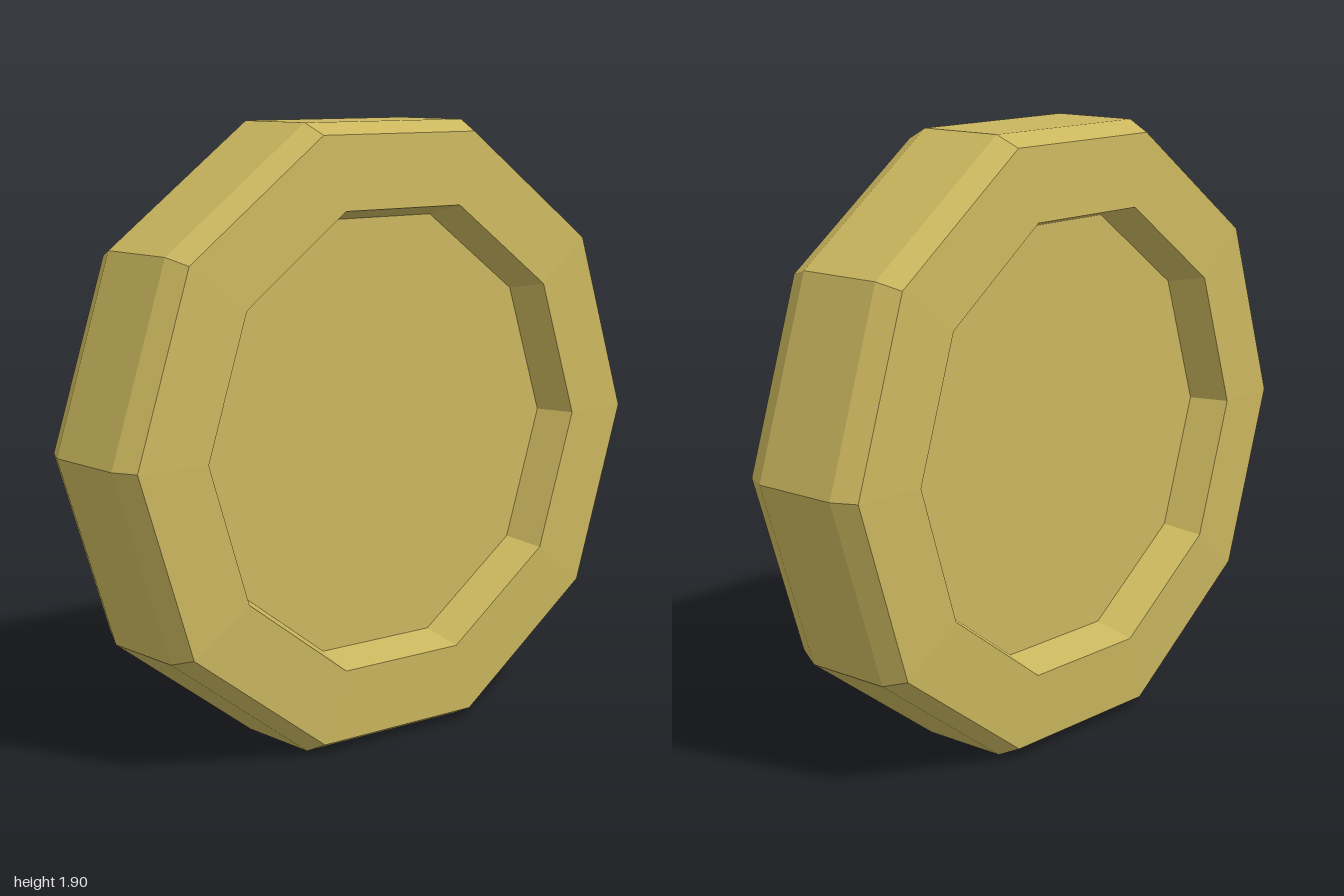
import * as THREE from 'three';

const SIDES = 10;

export function createModel() {
  const group = new THREE.Group();
  group.name = 'coin';
  const material = new THREE.MeshStandardMaterial({ color: 0xcab65e, flatShading: true });

  // Half of the profile (radius, depth): recessed floor, sloped wall, rim, bevelled edge
  const half = [[0, 0.105], [0.695, 0.105], [0.73, 0.23], [0.963, 0.216], [1, 0.142]];
  const profile = [
    ...half.map(([r, d]) => new THREE.Vector2(r, -d)),
    ...half.map(([r, d]) => new THREE.Vector2(r, d)).reverse(),
  ];

  // Ten-sided body with a corner on each side, turned so that its axis runs along z
  const geometry = new THREE.LatheGeometry(profile, SIDES, Math.PI / 2);
  geometry.rotateX(Math.PI / 2);
  geometry.translate(0, Math.sin((2 * Math.PI * 3) / SIDES), 0);

  const body = new THREE.Mesh(geometry, material);
  body.name = 'coinBody';
  group.add(body);
  return group;
}
